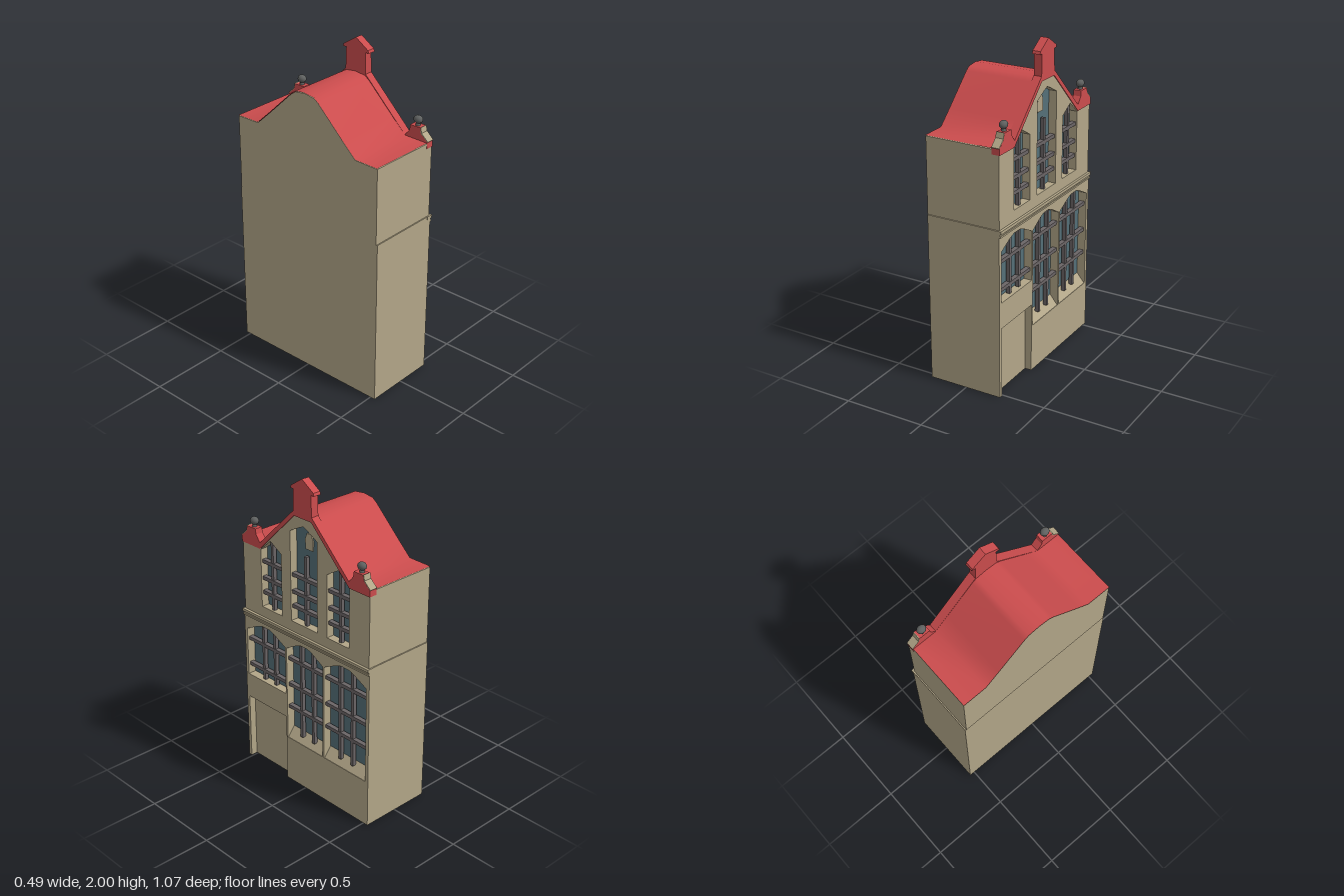
import * as THREE from 'three';

const mat = (name, color, side = THREE.FrontSide) => {
  const m = new THREE.MeshStandardMaterial({ color, side });
  m.name = name;
  return m;
};

export function createModel() {
  const root = new THREE.Group();
  root.name = 'gabledTownHouse';
  const stone = mat('stone', 0xb2a688);
  const red = mat('redTile', 0xcb4c4d, THREE.DoubleSide);
  const glass = mat('windowGlass', 0x546f78);
  const barMat = mat('windowBar', 0x6b6566);
  const dark = mat('finialGrey', 0x5f6160);

  const add = (name, geo, material, parent = root) => {
    const m = new THREE.Mesh(geo, material);
    m.name = name;
    parent.add(m);
    return m;
  };
  const vecs = (pts) => pts.map(([u, y]) => new THREE.Vector2(u, y));
  // Facade outline (u = -z, y), extruded along x from x0 to x1
  const slab = (name, pts, x0, x1, material, holes = [], parent = root) => {
    const s = new THREE.Shape(vecs(pts));
    holes.forEach((h) => s.holes.push(new THREE.Path(vecs(h))));
    const g = new THREE.ExtrudeGeometry(s, { depth: x1 - x0, bevelEnabled: false });
    g.rotateY(Math.PI / 2).translate(x0, 0, 0);
    return add(name, g, material, parent);
  };
  const box = (name, x0, x1, y0, y1, u0, u1, material, parent = root) => {
    const g = new THREE.BoxGeometry(x1 - x0, y1 - y0, u1 - u0);
    g.translate((x0 + x1) / 2, (y0 + y1) / 2, -(u0 + u1) / 2);
    return add(name, g, material, parent);
  };
  const flip = (pts) => pts.map(([u, y]) => [-u, y]).reverse();

  const BACK = 0.17, FRONT = 0.228;

  // Window openings
  const arched = (u0, u1, y0) => {
    const c = (u0 + u1) / 2, h = (u1 - u0) / 2;
    return [[u0, y0], [u1, y0], [u1, 0.907], [c + h * 0.42, 0.957], [c + h * 0.18, 0.97],
      [c - h * 0.18, 0.97], [c - h * 0.42, 0.957], [u0, 0.907]];
  };
  const sideGable = [[-0.367, 1.105], [-0.19, 1.105], [-0.19, 1.495], [-0.28, 1.548], [-0.367, 1.472]];
  const lowRows = [0.838, 0.663], tallRows = [0.838, 0.663, 0.51], upRows = [1.395, 1.288, 1.197];
  const windows = [
    { name: 'overDoorWindow', pts: arched(-0.51, -0.168, 0.595), cols: [-0.382, -0.281], rows: lowRows, y: [0.6, 0.955] },
    { name: 'tallMiddleWindow', pts: arched(-0.155, 0.153, 0.295), cols: [-0.048, 0.053], rows: tallRows, y: [0.335, 0.955], sill: true },
    { name: 'tallSideWindow', pts: arched(0.166, 0.508, 0.295), cols: [0.281, 0.382], rows: tallRows, y: [0.335, 0.955], sill: true },
    { name: 'gableWindowLeft', pts: sideGable, cols: [-0.283], rows: upRows, y: [1.105, 1.535], upper: true },
    { name: 'gableWindowRight', pts: flip(sideGable), cols: [0.283], rows: upRows, y: [1.105, 1.535], upper: true },
    { name: 'gableWindowMiddle', pts: [[-0.11, 1.105], [0.11, 1.105], [0.11, 1.665], [0.035, 1.705], [0, 1.72],
      [-0.035, 1.705], [-0.11, 1.665]], cols: [0], rows: upRows, y: [1.105, 1.535], upper: true },
  ];

  // Lower storey with a notch for the door
  box('lowerBody', -0.24, BACK, 0, 1.04, -0.532, 0.532, stone);
  slab('lowerFacade', [[-0.532, 0], [-0.51, 0], [-0.51, 0.435], [-0.168, 0.435], [-0.168, 0],
    [0.532, 0], [0.532, 1.04], [-0.532, 1.04]], BACK, FRONT, stone,
    windows.filter((w) => !w.upper).map((w) => w.pts));
  box('door', BACK, 0.185, 0, 0.435, -0.51, -0.168, stone);

  // Cornice between the storeys
  box('corniceTop', 0.2, 0.241, 1.022, 1.04, -0.534, 0.534, stone);
  box('corniceNeck', 0.2, 0.233, 1.01, 1.022, -0.533, 0.533, stone);
  box('corniceBottom', 0.2, 0.238, 1.0, 1.01, -0.533, 0.533, stone);

  // Upper storey follows the roof profile
  const half = [[0.525, 1.51], [0.37, 1.512], [0.28, 1.595], [0.1, 1.767], [0.07, 1.788]];
  const profile = [...half, [0, 1.797], ...flip(half)];
  const lowered = profile.map(([u, y]) => [u, y - 0.005]);
  const upperPts = [[-0.525, 1.04], [0.525, 1.04], ...lowered];
  slab('upperBody', upperPts, -0.243, BACK, stone);
  slab('upperFacade', upperPts, BACK, FRONT - 0.003, stone,
    windows.filter((w) => w.upper).map((w) => w.pts));

  // Roof skin, smooth across the slopes
  const roof = new THREE.PlaneGeometry(0.435, 1, 1, profile.length - 1);
  const p = roof.attributes.position;
  for (let i = 0; i < p.count; i++) {
    const [u, y] = profile[Math.floor(i / 2)];
    p.setXYZ(i, p.getX(i) - 0.0275, y, -u);
  }
  // Rows run from -z to +z so the face points up
  roof.computeVertexNormals();
  add('roof', roof, red);

  // Glass, glazing bars and sloping sills
  windows.forEach((w) => {
    const g = new THREE.Group();
    g.name = w.name;
    root.add(g);
    slab('glass', w.pts, BACK - 0.002, BACK + 0.005, glass, [], g);
    const u0 = w.pts[0][0], u1 = w.pts[1][0];
    const us = w.pts.map((q) => q[0]);
    const a = Math.min(u0, u1, ...us), b = Math.max(u0, u1, ...us);
    w.cols.forEach((u) => box('uprightBar', 0.188, 0.212, w.y[0], w.y[1], u - 0.01, u + 0.01, barMat, g));
    w.rows.forEach((y) => box('crossBar', 0.186, 0.215, y - 0.011, y + 0.011, a, b, barMat, g));
    if (w.sill) {
      const s = new THREE.Shape(vecs([[BACK, 0.294], [FRONT - 0.002, 0.294], [BACK, 0.362]]));
      const sill = new THREE.ExtrudeGeometry(s, { depth: b - a, bevelEnabled: false });
      add('slopingSill', sill.translate(0, 0, -b), stone, g);
    }
  });

  // Small niche in the middle gable window
  slab('nichePanel', [[-0.03, 1.568], [0.03, 1.568], [0.032, 1.63], [0.018, 1.664], [-0.018, 1.664], [-0.032, 1.63]],
    BACK + 0.004, BACK + 0.012, stone);

  // Red gable coping with shoulders and crowning turret
  const outer = [[0.527, 1.475], [0.527, 1.515], [0.482, 1.555], [0.475, 1.588], [0.405, 1.588],
    [0.4, 1.555], [0.368, 1.514], [0.075, 1.797], [0.071, 1.925], [0.096, 1.925], [0.09, 1.942]];
  const inner = [[-0.37, 1.475], [-0.07, 1.768], [0.07, 1.768], [0.37, 1.475]];
  slab('gableCoping', [...outer, [0, 2], ...flip(outer), ...inner], 0.18, 0.23, red);

  // Stone outer slopes and ball finials on both shoulders
  [-1, 1].forEach((side) => {
    const strip = [[0.528, 1.513], [0.531, 1.517], [0.486, 1.558], [0.479, 1.591], [0.474, 1.588], [0.481, 1.554]];
    slab('shoulderSlope', side > 0 ? strip : flip(strip), 0.18, 0.2295, stone);
    const stem = add('finialStem', new THREE.CylinderGeometry(0.01, 0.016, 0.025, 12), dark);
    stem.position.set(0.204, 1.598, side * 0.441);
    const ball = add('finialBall', new THREE.SphereGeometry(0.025, 16, 12), dark);
    ball.scale.set(0.95, 0.95, 1.15);
    ball.position.set(0.204, 1.623, side * 0.441);
  });

  return root;
}
